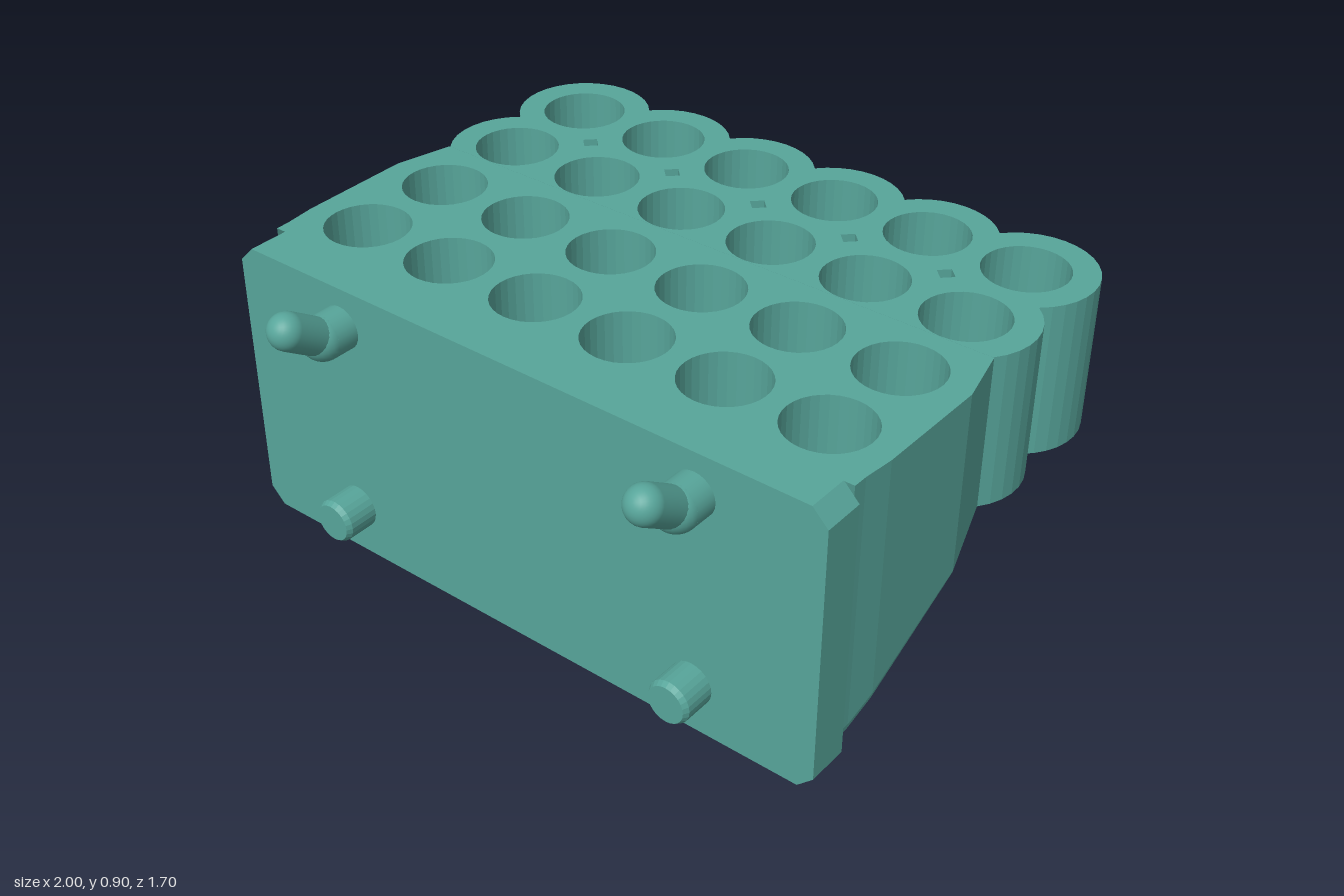
import * as THREE from 'three';

const TOP = 0.89, PITCH = 0.318, HOLE = 0.127, RING = 0.205;
const BACK = -0.2, KINK = 0.435, PLATE_BACK = 0.478, PLATE_FRONT = 0.606;
const COLS = [-2.5, -1.5, -0.5, 0.5, 1.5, 2.5].map((i) => i * PITCH);
const ROWS = [-0.648, -0.33, -0.01, 0.307];

// Underside height: slopes down from the rear shelf to the wall plate
const under = (z) => THREE.MathUtils.mapLinear(Math.min(z, KINK), BACK, KINK, 0.412, 0.047);

// Plan shapes are drawn in (x, -z)
function punch(shape, rows) {
  for (const z of rows) for (const x of COLS) {
    shape.holes.push(new THREE.Path().absarc(x, -z, HOLE, 0, Math.PI * 2, true));
  }
  return shape;
}

// Two rear rows of joined tubes
function tubeRack() {
  const a = Math.acos(PITCH / 2 / RING), H = Math.PI / 2, P = Math.PI;
  const pts = [];
  const arc = (x, z, from, to) => {
    const n = Math.ceil((to - from) / (P / 16));
    for (let i = 0; i <= n; i++) {
      const t = from + (to - from) * i / n;
      pts.push(new THREE.Vector2(x + RING * Math.cos(t), -z + RING * Math.sin(t)));
    }
  };
  arc(COLS[5], ROWS[1], -a, H - a);
  for (let c = 5; c >= 0; c--) {
    arc(COLS[c], ROWS[0], c === 5 ? a - H : a, c === 0 ? P + H - a : P - a);
  }
  arc(COLS[0], ROWS[1], H + a, P + a);
  const shape = punch(new THREE.Shape(pts), [ROWS[0], ROWS[1]]);

  // Small diamond gaps between four neighbouring tubes
  const s = -(ROWS[0] + ROWS[1]) / 2, d = 0.03;
  for (let k = -2; k <= 2; k++) {
    const x = k * PITCH;
    shape.holes.push(new THREE.Path([[d, 0], [0, -d], [-d, 0], [0, d]]
      .map(([u, v]) => new THREE.Vector2(x + u, s + v))));
  }
  const g = new THREE.ExtrudeGeometry(shape, { depth: TOP - 0.412, bevelEnabled: false, curveSegments: 16 });
  return g.rotateX(-Math.PI / 2).translate(0, 0.412, 0);
}

// Stations along the wedge: z, half width, lower edge radius
const STATIONS = [[BACK, 0.957, 0.004], [-0.02, 1, 0.02], [0.34, 0.996, 0.048], [KINK, 0.986, 0.056], [0.48, 0.985, 0.056]];

// Flat sheet with holes, laid at a height given by z
function sheet(stations, halfWidth, height, down) {
  const right = stations.map((s) => new THREE.Vector2(halfWidth(s), -s[0]));
  const left = right.map((p) => new THREE.Vector2(-p.x, p.y)).reverse();
  const g = new THREE.ShapeGeometry(punch(new THREE.Shape([...right, ...left]), [ROWS[2], ROWS[3]]), 16);
  const p = g.attributes.position;
  for (let i = 0; i < p.count; i++) {
    const z = -p.getY(i);
    p.setXYZ(i, p.getX(i), height(z), z);
  }
  if (down) g.index.array.reverse();
  g.computeVertexNormals();
  return g;
}

// Side wall with a rounded lower edge
function sideWall(sign) {
  const pos = [], idx = [], n = 5, cols = n + 2;
  STATIONS.forEach(([z, w, r], i) => {
    for (let j = 0; j <= n; j++) {
      const t = j / n * Math.PI / 2;
      pos.push(sign * (w - r + r * Math.sin(t)), under(z) + r - r * Math.cos(t), z);
    }
    pos.push(sign * w, TOP, z);
    if (i === STATIONS.length - 1) return;
    for (let j = 0; j < cols - 1; j++) {
      const a = i * cols + j, b = a + 1, c = a + cols, d = c + 1;
      idx.push(...(sign > 0 ? [a, b, c, b, d, c] : [a, c, b, b, c, d]));
    }
  });
  const g = new THREE.BufferGeometry();
  g.setAttribute('position', new THREE.Float32BufferAttribute(pos, 3));
  g.setIndex(idx);
  g.computeVertexNormals();
  return g;
}

// Hole lining cut off along the sloping underside
function holeWall(x, z) {
  const g = new THREE.CylinderGeometry(HOLE, HOLE, 1, 32, 1, true).translate(x, 0, z);
  const p = g.attributes.position;
  for (let i = 0; i < p.count; i++) p.setY(i, p.getY(i) > 0 ? TOP : under(p.getZ(i)));
  return g;
}

export function createModel() {
  const model = new THREE.Group();
  const color = 0x57a59a;
  const flat = new THREE.MeshStandardMaterial({ color, flatShading: true, side: THREE.DoubleSide });
  const smooth = new THREE.MeshStandardMaterial({ color });
  const add = (parent, name, geometry, material = flat) => {
    const m = new THREE.Mesh(geometry, material);
    m.name = name;
    parent.add(m);
    return m;
  };
  const group = (name) => {
    const g = new THREE.Group();
    g.name = name;
    model.add(g);
    return g;
  };

  add(model, 'tubeRack', tubeRack());

  // Wedge body carrying the two front rows of holes
  const wedge = group('wedgeBody');
  add(wedge, 'wedgeTop', sheet(STATIONS, (s) => s[1], () => TOP, false));
  add(wedge, 'wedgeUnderside', sheet(STATIONS.slice(0, 4), (s) => s[1] - s[2], under, true));
  add(wedge, 'wedgeFoot', new THREE.BoxGeometry(1.86, 0.04, 0.045).translate(0, 0.067, 0.4575));
  for (const s of [1, -1]) add(wedge, s > 0 ? 'leftWall' : 'rightWall', sideWall(s));
  for (const z of [ROWS[2], ROWS[3]]) for (const x of COLS) add(wedge, 'holeWall', holeWall(x, z));

  // Wall plate with clipped corners
  const c = 0.048;
  const outline = [[-1 + c, 0], [1 - c, 0], [1, c], [1, TOP - c], [1 - c, TOP], [-1 + c, TOP], [-1, TOP - c], [-1, c]];
  const plate = new THREE.ExtrudeGeometry(new THREE.Shape(outline.map((p) => new THREE.Vector2(...p))),
    { depth: PLATE_FRONT - PLATE_BACK, bevelEnabled: false });
  add(model, 'wallPlate', plate.translate(0, 0, PLATE_BACK));

  // Pegs: straight below, bent upward above
  const pegProfile = [[0.066, 0], [0.066, 0.092], [0.057, 0.108], [0, 0.108]].map((p) => new THREE.Vector2(...p));
  for (const s of [1, -1]) {
    const x = s * 0.61;
    const peg = add(model, 'lowerPeg', new THREE.LatheGeometry(pegProfile.slice().reverse(), 24).rotateX(Math.PI / 2), flat);
    peg.position.set(x, 0.155, PLATE_FRONT);

    const hook = group('upperHook');
    hook.position.set(x, 0.766, 0.675);
    add(hook, 'hookBase', new THREE.CylinderGeometry(0.066, 0.066, 0.09, 24).rotateX(Math.PI / 2).translate(0, 0, -0.045), smooth);
    add(hook, 'hookElbow', new THREE.SphereGeometry(0.066, 24, 16), smooth);
    const tip = new THREE.Vector3(0, 0.079, 0.12);
    const arm = add(hook, 'hookArm', new THREE.CapsuleGeometry(0.055, tip.length(), 8, 24), smooth);
    arm.position.copy(tip).multiplyScalar(0.5);
    arm.quaternion.setFromUnitVectors(new THREE.Vector3(0, 1, 0), tip.clone().normalize());
  }
  return model;
}
